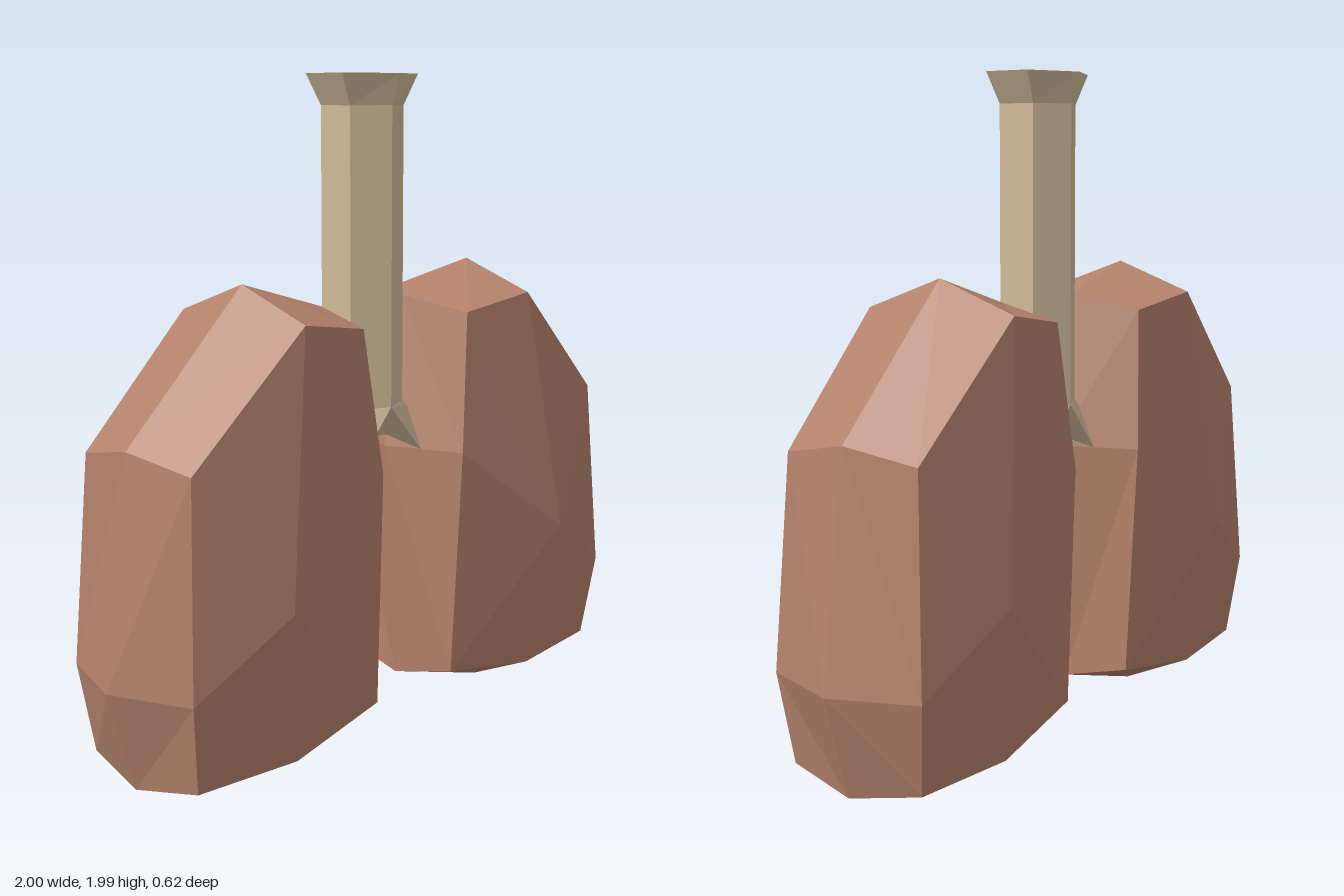
import * as THREE from 'three';

// Skins closed cross-section loops, with each end fanned to a cap point.
function loft(loops, startCap, endCap) {
  const n = loops[0].length;
  let tris = [];
  const first = loops[0], last = loops[loops.length - 1];
  for (let i = 0; i < n; i++) {
    const k = (i + 1) % n;
    tris.push([startCap, first[i], first[k]], [endCap, last[k], last[i]]);
    for (let j = 0; j < loops.length - 1; j++) {
      const a = loops[j][i], b = loops[j + 1][i], c = loops[j + 1][k], d = loops[j][k];
      tris.push([a, b, c], [a, c, d]);
    }
  }
  // Turn the faces outward if the enclosed volume comes out negative
  const v = (p) => new THREE.Vector3(...p);
  const volume = tris.reduce((s, [a, b, c]) =>
    s + v(a).sub(v(startCap)).dot(v(b).sub(v(startCap)).cross(v(c).sub(v(startCap)))), 0);
  if (volume < 0) tris = tris.map(([a, b, c]) => [a, c, b]);
  const geo = new THREE.BufferGeometry();
  geo.setAttribute('position', new THREE.Float32BufferAttribute(tris.flat(2), 3));
  geo.computeVertexNormals();
  return geo;
}

// Lung outline at mid-depth, and the smaller rim of its front and back faces
const OUTLINE = [[0.18, 1.33], [0.49, 1.42], [0.91, 1.02], [1.0, 0.38],
  [0.91, 0.08], [0.56, 0], [0.155, 0.12], [0.1, 0.87]];
const RIM = [[0.23, 1.29, 0.215], [0.49, 1.33, 0.245], [0.875, 0.98, 0.215], [0.91, 0.38, 0.245],
  [0.875, 0.12, 0.215], [0.53, 0.11, 0.24], [0.17, 0.17, 0.215], [0.18, 0.87, 0.245]];

function lungGeometry(side) {
  const rim = (f) => RIM.map(([x, y, z]) => [x * side, y, z * f]);
  const middle = OUTLINE.map(([x, y]) => [x * side, y, 0]);
  return loft([rim(1), middle, rim(-1)], [0.605 * side, 0.57, 0.31], [0.605 * side, 0.57, -0.31]);
}

// Hexagon with one corner facing the front
function hexagon(halfWidth, depth, y) {
  return Array.from({ length: 6 }, (_, i) => {
    const a = (i * Math.PI) / 3;
    return [(Math.sin(a) * halfWidth) / Math.sin(Math.PI / 3), y, Math.cos(a) * depth];
  });
}

// Short branch from half of the windpipe's lower end into a lung
function bronchusGeometry(side) {
  const top = [[0, 1.02, 0.115], [0.115 * side, 1.02, 0.058],
    [0.115 * side, 1.02, -0.058], [0, 1.02, -0.115]];
  const end = [[0.137 * side, 0.87, 0.115], [0.137 * side, 1.0, 0.058],
    [0.137 * side, 1.0, -0.058], [0.137 * side, 0.87, -0.115]];
  return loft([top, end], [0.06 * side, 1.02, 0], [0.137 * side, 0.94, 0]);
}

export function createModel() {
  const group = new THREE.Group();
  group.name = 'lungs';
  const lungMat = new THREE.MeshStandardMaterial({ color: 0xb3816b, flatShading: true });
  lungMat.name = 'lung pink brown';
  const pipeMat = new THREE.MeshStandardMaterial({ color: 0xd0ba99, flatShading: true });
  pipeMat.name = 'windpipe beige';

  const add = (name, geo, mat) => {
    const mesh = new THREE.Mesh(geo, mat);
    mesh.name = name;
    group.add(mesh);
  };

  // Windpipe with a flared top
  add('windpipe', loft(
    [hexagon(0.115, 0.115, 1.02), hexagon(0.115, 0.115, 1.9), hexagon(0.163, 0.142, 1.99)],
    [0, 1.02, 0], [0, 1.99, 0]), pipeMat);

  // Mirrored lungs and bronchi
  for (const [label, side] of [['left', 1], ['right', -1]]) {
    add(label + 'Lung', lungGeometry(side), lungMat);
    add(label + 'Bronchus', bronchusGeometry(side), pipeMat);
  }
  return group;
}
